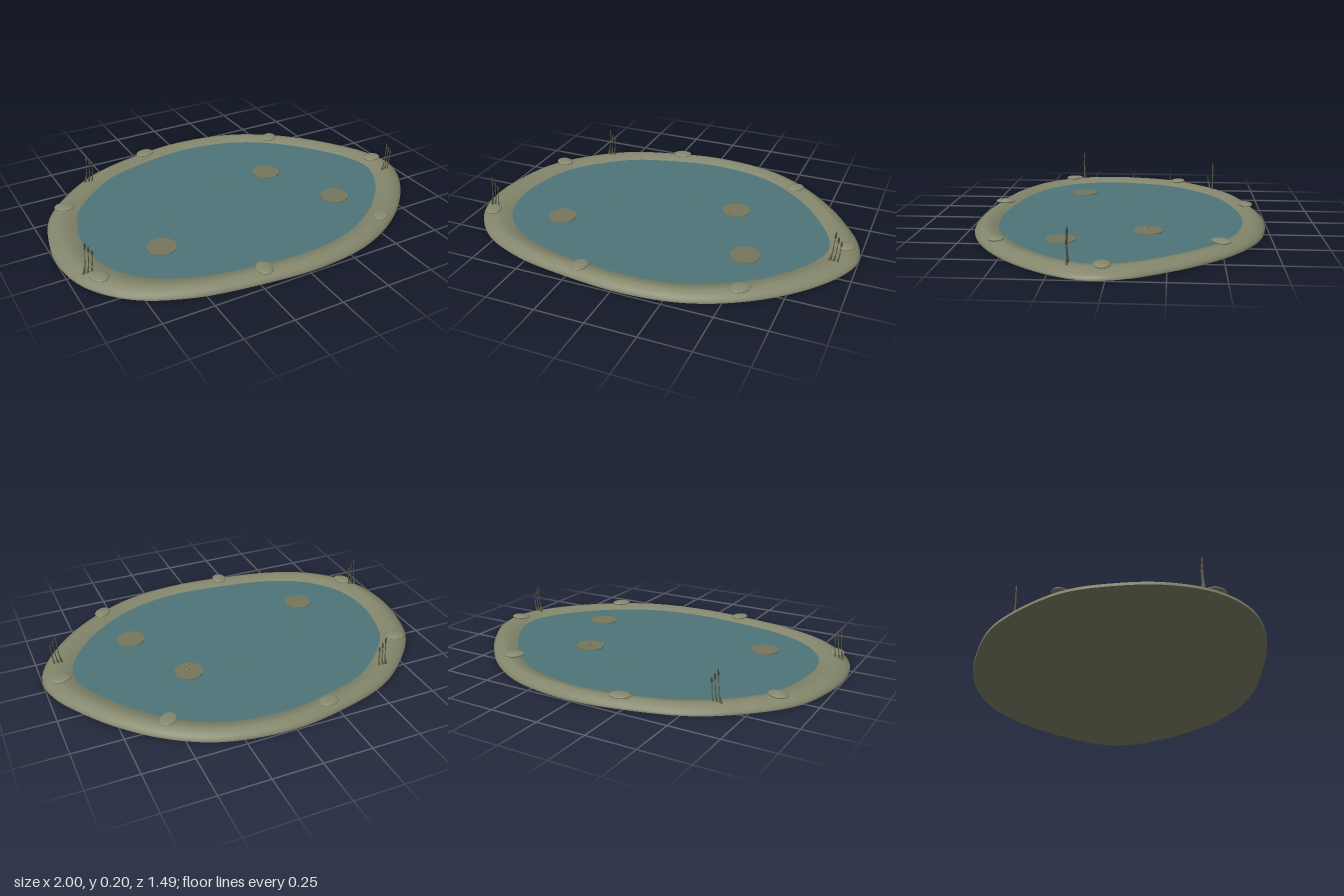
import * as THREE from 'three';

const mat = (name, color, side = THREE.FrontSide) => {
  const m = new THREE.MeshStandardMaterial({ color, side });
  m.name = name;
  return m;
};

// Shoreline, counterclockwise from above
const SHORE = [
  [1, 0.07], [0.97, -0.08], [0.88, -0.24], [0.76, -0.40], [0.58, -0.57], [0.35, -0.695], [0.02, -0.745],
  [-0.29, -0.70], [-0.56, -0.61], [-0.77, -0.45], [-0.91, -0.28], [-0.975, -0.09], [-1, 0.13],
  [-0.95, 0.35], [-0.80, 0.535], [-0.56, 0.655], [-0.26, 0.715], [0.06, 0.74], [0.35, 0.70],
  [0.59, 0.59], [0.80, 0.42], [0.95, 0.22],
];
const N = 120;
const shore = new THREE.CatmullRomCurve3(SHORE.map(([x, z]) => new THREE.Vector3(x, 0, z)), true).getSpacedPoints(N);

// Joins scaled copies of the shoreline; profile entries are [scale, y]
function shoreSurface(profile) {
  const pos = [], idx = [];
  for (const [s, y] of profile) for (let i = 0; i < N; i++) pos.push(shore[i].x * s, y, shore[i].z * s);
  for (let r = 0; r < profile.length - 1; r++) {
    for (let i = 0; i < N; i++) {
      const j = (i + 1) % N, a = r * N, b = a + N;
      idx.push(a + i, a + j, b + j, a + i, b + j, b + i);
    }
  }
  const g = new THREE.BufferGeometry();
  g.setAttribute('position', new THREE.Float32BufferAttribute(pos, 3));
  g.setIndex(idx);
  g.computeVertexNormals();
  return g;
}

export function createModel() {
  const model = new THREE.Group();
  model.name = 'pond';
  const earth = mat('earth', 0x83866b);
  const water = mat('water', 0x4f757a);
  const stone = mat('stone', 0x86886e);
  const leaf = mat('lilyLeaf', 0x77775d);
  const reed = mat('reed', 0x5e5f47);
  const head = mat('reedHead', 0x4e4536);
  const petal = mat('petal', 0x85806c);
  const fishSkin = mat('fish', 0x7c6a50);

  const add = (name, geometry, material, x = 0, y = 0, z = 0, parent = model) => {
    const m = new THREE.Mesh(geometry, material);
    m.name = name;
    m.position.set(x, y, z);
    parent.add(m);
    return m;
  };

  // Bank, underside and water
  add('bank', shoreSurface([[1, 0], [1, 0.012], [0.985, 0.022], [0.965, 0.033], [0.94, 0.041],
    [0.92, 0.042], [0.89, 0.037], [0.86, 0.028], [0.835, 0.018]]), earth);
  add('underside', shoreSurface([[0, 0], [1, 0]]), earth);
  add('water', shoreSurface([[0.85, 0.023], [0, 0.023]]), water);

  // Flat stones around the bank: x, z, turn in degrees
  const stoneGeo = new THREE.SphereGeometry(1, 24, 12);
  [[0.915, 0.02, 5], [0.535, -0.495, 45], [-0.21, -0.665, 12], [-0.82, -0.30, -20],
    [-0.88, 0.36, -65], [-0.20, 0.665, 80], [0.555, 0.555, 45]].forEach(([x, z, turn]) => {
    const s = add('stone', stoneGeo, stone, x, 0.046, z);
    s.scale.set(0.052, 0.011, 0.04);
    s.rotation.y = THREE.MathUtils.degToRad(turn);
  });

  // Lily pads with a notch towards +x
  const padShape = new THREE.Shape();
  padShape.moveTo(0.03, 0);
  padShape.absarc(0, 0, 0.073, 0.13, Math.PI * 2 - 0.13, false);
  padShape.closePath();
  const padGeo = new THREE.ExtrudeGeometry(padShape, { depth: 0.005, bevelEnabled: false, curveSegments: 32 });
  padGeo.rotateX(-Math.PI / 2);
  [[0.305, -0.15], [-0.525, 0.255], [0.485, 0.255]].forEach(([x, z]) => add('lilyPad', padGeo, leaf, x, 0.024, z));

  // Flower on the back pad
  const flower = new THREE.Group();
  flower.name = 'flower';
  flower.position.set(0.305, 0.031, -0.15);
  model.add(flower);
  for (let i = 0; i < 6; i++) {
    const a = i * Math.PI / 3;
    const p = add('petal', stoneGeo, petal, Math.cos(a) * 0.009, 0.001, -Math.sin(a) * 0.009, flower);
    p.scale.set(0.008, 0.003, 0.004);
    p.rotation.y = a;
  }
  add('flowerCentre', new THREE.SphereGeometry(0.005, 10, 6), head, 0, 0.002, 0, flower);

  // Fish backs just breaking the surface
  [[0.045, -0.2], [-0.355, -0.05]].forEach(([x, z]) => {
    [-0.032, 0, 0.032].forEach((dx) => {
      add('fishBack', stoneGeo, fishSkin, x + dx, 0.023, z).scale.set(0.011, 0.003, 0.003);
    });
  });

  // Tapered rod between two points
  const rod = (name, a, b, r0, r1, material, parent) => {
    const dir = b.clone().sub(a);
    const m = add(name, new THREE.CylinderGeometry(r1, r0, dir.length(), 8), material, 0, 0, 0, parent);
    m.position.copy(a).lerp(b, 0.5);
    m.quaternion.setFromUnitVectors(new THREE.Vector3(0, 1, 0), dir.normalize());
  };

  // Reed clumps: three stems with heads and leaning blades
  [[-0.913, 0.3], [-0.615, -0.505], [0.895, 0.167]].forEach(([x, z]) => {
    const clump = new THREE.Group();
    clump.name = 'reeds';
    clump.position.set(x, 0.035, z);
    model.add(clump);
    [0.165, 0.14, 0.118].forEach((h, i) => {
      const foot = new THREE.Vector3(-0.012 + i * 0.017, 0, 0);
      const top = new THREE.Vector3(i * 0.015, h, 0);
      rod('stem', foot, top, 0.0025, 0.0015, reed, clump);
      rod('reedHead', foot.clone().lerp(top, 0.8), foot.clone().lerp(top, 0.97), 0.005, 0.004, head, clump);
      rod('blade', new THREE.Vector3(-0.022 + i * 0.02, 0, 0),
        new THREE.Vector3(-0.003 + i * 0.016, 0.07 - i * 0.006, 0), 0.005, 0.0008, reed, clump);
    });
  });

  return model;
}
